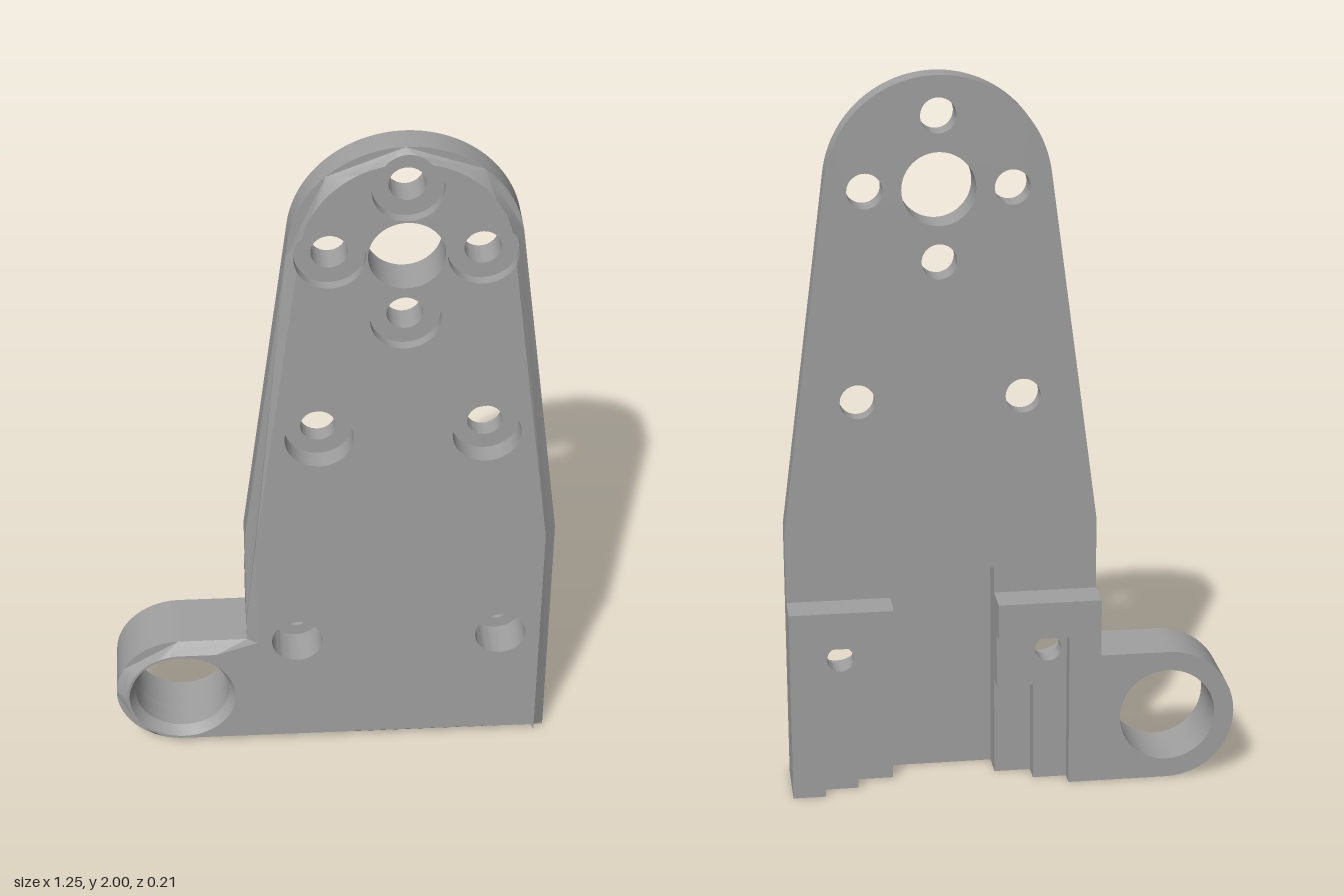
import * as THREE from 'three';
import { toCreasedNormals } from 'three/addons/utils/BufferGeometryUtils.js';

const V = (x, y) => new THREE.Vector2(x, y);
const CX = 0.1875;                       // symmetry line of the plate
const Z_REAR = -0.105, Z_PLATE = -0.005, Z_STEP = 0.045, Z_EDGE = 0.075, Z_FRONT = 0.105;
const CHAMFER = Z_FRONT - Z_EDGE;

const arc = (x, y, r, a0, a1, n = 48) => Array.from({ length: n + 1 }, (_, i) => {
  const a = a0 + (a1 - a0) * i / n;
  return V(x + r * Math.cos(a), y + r * Math.sin(a));
});
const circle = (x, y, r) => arc(x, y, r, 0, Math.PI * 2).slice(0, -1);

function shapeOf(points, holes = []) {
  const s = new THREE.Shape(points);
  s.holes = holes.map((h) => new THREE.Path(h));
  return s;
}
const slab = (points, holes, z0, z1) =>
  new THREE.ExtrudeGeometry(shapeOf(points, holes), { depth: z1 - z0, bevelEnabled: false }).translate(0, 0, z0);

// Subdivides a closed loop
function dense(loop, step) {
  return loop.flatMap((p, i) => {
    const q = loop[(i + 1) % loop.length];
    const n = Math.max(1, Math.ceil(p.distanceTo(q) / step));
    return Array.from({ length: n }, (_, k) => p.clone().lerp(q, k / n));
  });
}

// Mitred inward offset of a counter-clockwise loop
function inset(loop, d) {
  const normal = (a, b) => V(a.y - b.y, b.x - a.x).normalize();
  return loop.map((p, i) => {
    const n1 = normal(loop.at(i - 1), p), n2 = normal(p, loop[(i + 1) % loop.length]);
    return p.clone().addScaledVector(n1.clone().add(n2), d / (1 + n1.dot(n2)));
  });
}

// Replaces the run of a loop inside a circle by the outer or inner arc of it
function detour(loop, [x, y, r], outer) {
  const inside = loop.map((p) => p.distanceTo(V(x, y)) < r);
  const first = inside.indexOf(true), last = inside.lastIndexOf(true);
  if (first < 0) return loop;
  const angle = (p) => Math.atan2(p.y - y, p.x - x);
  const a0 = angle(loop[first]);
  let sweep = (angle(loop[last]) - a0 + Math.PI * 4) % (Math.PI * 2);
  if (!outer) sweep -= Math.PI * 2;
  return [...loop.slice(0, first), ...arc(x, y, r, a0, a0 + sweep, 32), ...loop.slice(last + 1)];
}

// Inward-facing wall of a bore between two loops
function bore(low, high, z0, zTop) {
  const pos = [], index = [], n = low.length;
  low.forEach((p, i) => {
    pos.push(p.x, p.y, z0, high[i].x, high[i].y, zTop(high[i]));
    const a = 2 * i, b = 2 * ((i + 1) % n);
    index.push(a, b + 1, b, a, a + 1, b + 1);
  });
  const g = new THREE.BufferGeometry();
  g.setAttribute('position', new THREE.Float32BufferAttribute(pos, 3));
  g.setIndex(index);
  return g;
}

export function createModel() {
  const group = new THREE.Group();
  const grey = new THREE.MeshStandardMaterial({ color: 0xa0a0a0 });
  grey.name = 'grey';
  const add = (name, geometry) => {
    geometry.deleteAttribute('uv');
    const mesh = new THREE.Mesh(toCreasedNormals(geometry, 0.5), grey);
    mesh.name = name;
    group.add(mesh);
  };

  // Outline: tapered plate with a round top and a ring lug at lower right
  const half = 0.4325, top = V(CX, 1.695), topR = 0.305, lug = V(-0.435, 0.19), lugR = 0.19;
  const dx = half, dy = 0.75 - top.y;
  const tangent = Math.atan2(dy, dx) + Math.acos(topR / Math.hypot(dx, dy));
  const lugArc = arc(lug.x, lug.y, lugR, Math.PI / 2, Math.PI * 1.5);
  const outline = [
    V(CX + half, 0), V(CX + half, 0.75),
    ...arc(top.x, top.y, topR, tangent, Math.PI - tangent, 64),
    V(CX - half, 0.75), V(CX - half, 0.38), ...lugArc,
  ];

  // Holes: [x, y, radius, counterbore radius]
  const ringHoles = [[0, 0.1975], [0, -0.1975], [0.1975, 0], [-0.1975, 0]]
    .map(([x, y]) => [top.x + x, top.y + y, 0.048, 0.093]);
  const midHoles = [-1, 1].map((s) => [CX + s * 0.226, 1.115, 0.048, 0.093]);
  const lowHoles = [-1, 1].map((s) => [CX + s * 0.29, 0.392, 0.037, 0.072]);
  const small = ([x, y, r]) => circle(x, y, r);
  const wide = ([x, y, , r]) => circle(x, y, r);
  const centreHole = circle(top.x, top.y, 0.1);
  const lugHole = circle(lug.x, lug.y, 0.135), lugRim = circle(lug.x, lug.y, 0.153);

  // Plate body in two layers, with the rear channel cut out
  const ch = 0.145, chTop = 0.62;
  const body = [...outline, V(CX - ch, 0), V(CX - ch, chTop), V(CX + ch, chTop), V(CX + ch, 0)];
  const shared = [centreHole, lugHole, ...ringHoles.map(small), ...lowHoles.map(wide)];
  add('plateRear', slab(body, [...shared, ...midHoles.map(small)], Z_PLATE, Z_STEP));
  add('plateMiddle', slab(body, [...shared, ...midHoles.map(wide)], Z_STEP, Z_EDGE));
  add('channelFloor', new THREE.PlaneGeometry(ch * 2, chTop).rotateY(Math.PI).translate(CX, chTop / 2, Z_EDGE));

  // Chamfered front: three counterbores break through the chamfer
  const edge = dense(outline, 0.01);
  const rim = inset(edge, CHAMFER);
  const cutters = ringHoles.map(([x, y, , r]) => [x, y, r]);
  const around = (outer) => cutters.reduce((loop, c) => detour(loop, c, outer), rim);
  const height = (p) => {
    let d = CHAMFER;
    outline.forEach((a, i) => {
      const ab = outline[(i + 1) % outline.length].clone().sub(a), ap = V(p.x, p.y).sub(a);
      const t = Math.min(1, Math.max(0, ap.dot(ab) / ab.lengthSq()));
      d = Math.min(d, ap.addScaledVector(ab, -t).length());
    });
    return Z_EDGE + d;
  };
  const bevel = new THREE.ShapeGeometry(shapeOf(edge, [around(true)]));
  const bp = bevel.attributes.position;
  for (let i = 0; i < bp.count; i++) bp.setZ(i, height({ x: bp.getX(i), y: bp.getY(i) }));
  add('chamfer', bevel);

  const faceHoles = [centreHole, lugRim, wide(ringHoles[1]), ...midHoles.map(wide), ...lowHoles.map(wide)];
  add('frontFace', new THREE.ShapeGeometry(shapeOf(around(false), faceHoles)).translate(0, 0, Z_FRONT));

  // Bore walls through the front layer
  [...ringHoles, ...midHoles, ...lowHoles].forEach((h) => add('counterbore', bore(wide(h), wide(h), Z_EDGE, height)));
  add('centreBore', bore(centreHole, centreHole, Z_EDGE, () => Z_FRONT));
  add('lugCountersink', bore(lugHole, lugRim, Z_EDGE, () => Z_FRONT));

  // Rear half of the lug
  add('lugRear', slab([...lugArc, V(CX - half, 0), V(CX - half, 0.38)], [lugHole], Z_REAR, Z_PLATE));

  // Stepped rear blocks, mirrored about the channel
  [-1, 1].forEach((s, i) => {
    const pts = (list) => list.map(([x, y]) => V(CX + s * x, y));
    add('blockFrame', slab(pts([[half, 0], [half, 0.545], [ch, 0.545], [ch, 0.44], [0.3425, 0.44], [0.3425, 0]]),
      [], Z_REAR, Z_PLATE));
    add('blockStep', slab(pts([[0.3425, 0], [0.3425, 0.44], [ch, 0.44], [ch, 0.285], [0.2475, 0.285], [0.2475, 0]]),
      [small(lowHoles[i])], -0.06, Z_PLATE));
  });

  return group;
}
